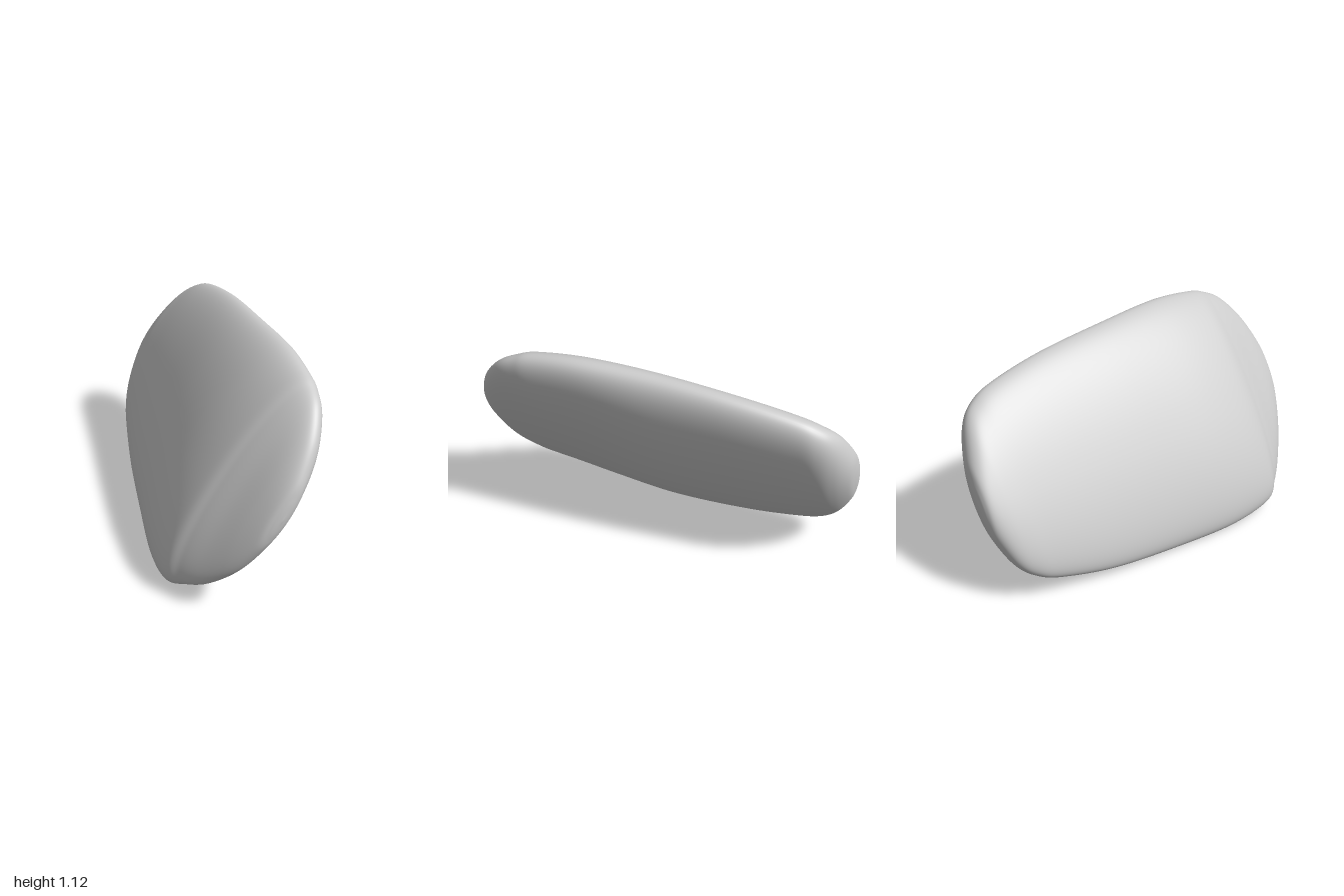
import * as THREE from 'three';
import { mergeVertices } from 'three/addons/utils/BufferGeometryUtils.js';

// Cross-sections from front to back:
// z, half width, centre x, centre y, rise above rim, drop below rim, twist
const SECTIONS = [
  [1, 0, 0.08, 0.025, 0, 0, 0.02],
  [0.992, 0.105, 0.08, 0.027, 0.027, 0.027, 0.02],
  [0.97, 0.205, 0.077, 0.028, 0.052, 0.052, 0.02],
  [0.9, 0.37, 0.068, 0.023, 0.085, 0.09, 0.02],
  [0.8, 0.505, 0.045, 0.02, 0.108, 0.12, 0.03],
  [0.7, 0.578, 0.018, 0.016, 0.132, 0.15, 0.045],
  [0.6, 0.622, -0.006, 0.011, 0.147, 0.178, 0.055],
  [0.35, 0.648, 0, 0.002, 0.164, 0.183, 0.03],
  [0, 0.627, 0.013, -0.003, 0.154, 0.201, 0],
  [-0.4, 0.583, 0.035, -0.006, 0.14, 0.18, -0.01],
  [-0.7, 0.513, 0.051, -0.001, 0.13, 0.16, -0.01],
  [-0.83, 0.452, 0.054, 0.004, 0.122, 0.155, 0],
  [-0.91, 0.367, 0.05, 0.007, 0.11, 0.128, 0],
  [-0.97, 0.22, 0.038, 0.005, 0.085, 0.085, 0],
  [-0.992, 0.115, 0.027, 0.005, 0.048, 0.045, 0],
  [-1, 0, 0.02, 0.005, 0, 0, 0],
];

// One smooth curve per column
const CURVES = SECTIONS[0].map(
  (_, c) => new THREE.CatmullRomCurve3(SECTIONS.map((s) => new THREE.Vector3(s[c], 0, 0)), false, 'catmullrom', 0.5)
);

const power = (v, e) => Math.sign(v) * Math.abs(v) ** e;

// Flattened pebble lofted through the sections, leaning sideways
function stoneGeometry(rows = 150, sides = 96) {
  const positions = [];
  const index = [];

  for (let i = 0; i <= rows; i++) {
    const [z, width, cx, cy, up, down, twist] = CURVES.map((curve) => curve.getPoint(i / rows).x);
    for (let j = 0; j < sides; j++) {
      const angle = (j / sides) * Math.PI * 2;
      const s = Math.sin(angle);
      const e = s >= 0 ? 2 / 2.1 : 1; // top slightly fuller than the underside
      const u = width * power(Math.cos(angle), e);
      const w = (s >= 0 ? up : down) * power(s, e) - twist * u;
      positions.push(cx + 0.5 * u - 0.865 * w, cy + 0.865 * u + 0.5 * w, z);
      if (i < rows) {
        const a = i * sides + j;
        const b = i * sides + ((j + 1) % sides);
        index.push(a, a + sides, b, b, a + sides, b + sides);
      }
    }
  }

  let geometry = new THREE.BufferGeometry();
  geometry.setAttribute('position', new THREE.Float32BufferAttribute(positions, 3));
  geometry.setIndex(index);
  geometry = mergeVertices(geometry, 1e-5);
  geometry.computeVertexNormals();

  // Stand on the ground, centred
  geometry.computeBoundingBox();
  const { min, max } = geometry.boundingBox;
  geometry.translate(-(min.x + max.x) / 2, -min.y, -(min.z + max.z) / 2);
  return geometry;
}

export function createModel() {
  const group = new THREE.Group();
  const stone = new THREE.Mesh(stoneGeometry(), new THREE.MeshStandardMaterial({ color: 0xcccccc }));
  stone.name = 'stone';
  group.add(stone);
  return group;
}
